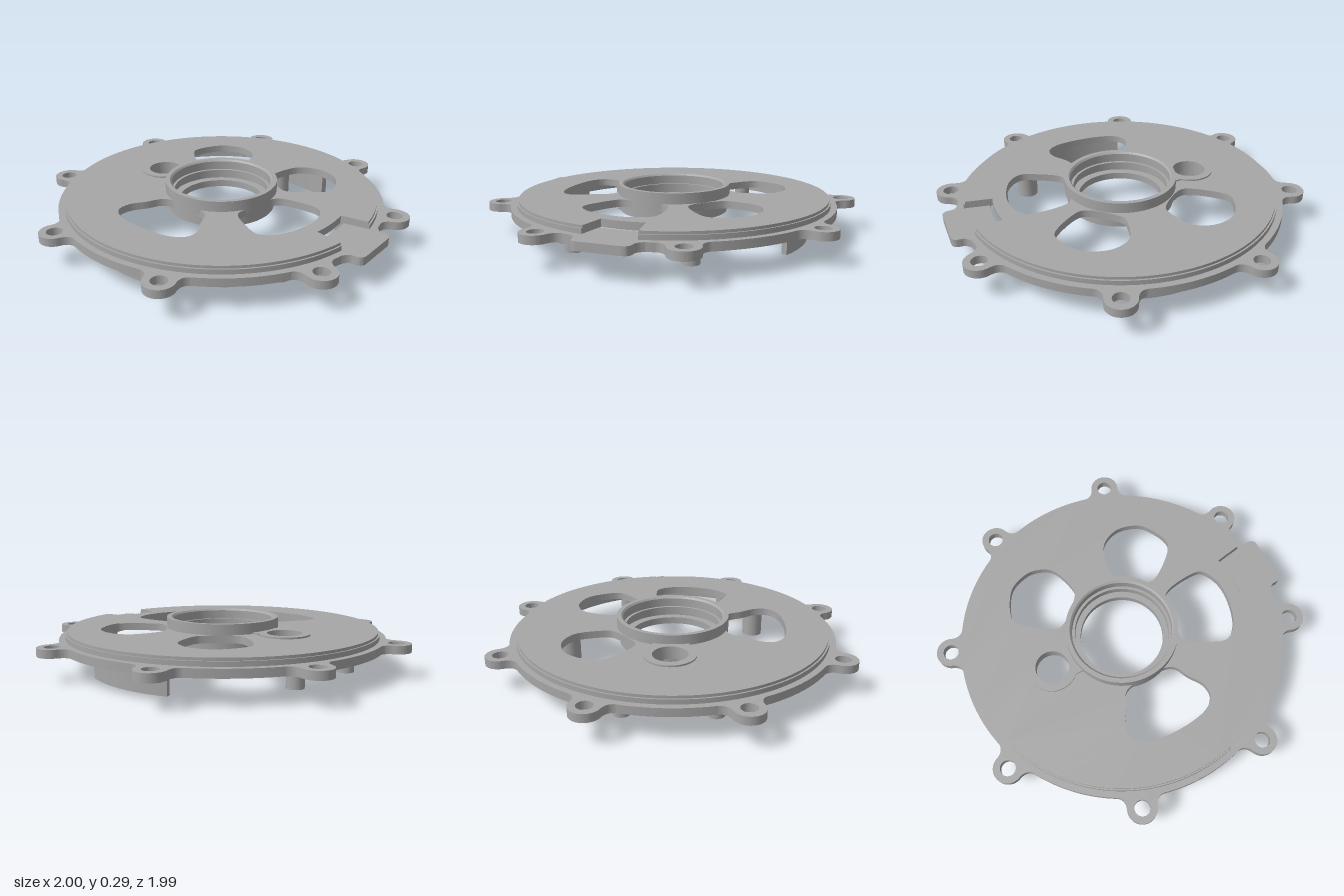
import * as THREE from 'three';
import { toCreasedNormals } from 'three/addons/utils/BufferGeometryUtils.js';

const PI = Math.PI;
const metal = new THREE.MeshStandardMaterial({ color: 0xa6a6a6 });
metal.name = 'grey metal';

const v2 = (x, z) => new THREE.Vector2(x, z);
const circle = (x, z, r) => new THREE.Path().absarc(x, z, r, 0, PI * 2, true);

// Horizontal slab: the shape's second axis becomes z
function slab(shape, y0, y1) {
  const g = new THREE.ExtrudeGeometry(shape, { depth: y1 - y0, bevelEnabled: false, curveSegments: 72 });
  g.rotateX(PI / 2).translate(0, y1, 0);
  return toCreasedNormals(g, 0.5);
}

// Turned part from [radius, y] pairs
function turned(pairs, segments) {
  return toCreasedNormals(new THREE.LatheGeometry(pairs.map(([r, y]) => v2(r, y)), segments), 0.5);
}

// Band between two radii and two angles
function arcBand(r0, r1, a0, a1) {
  const s = new THREE.Shape();
  s.absarc(0, 0, r1, a0, a1, false);
  s.absarc(0, 0, r0, a1, a0, true);
  s.closePath();
  return s;
}

// Smooth closed opening through a few points
function opening(points) {
  const curve = new THREE.CatmullRomCurve3(points.map(([x, z]) => new THREE.Vector3(x, z, 0)), true, 'centripetal');
  return new THREE.Path(curve.getSpacedPoints(72).slice(0, -1).map((p) => v2(p.x, p.y)));
}

const mirrorX = (points) => points.map(([x, z]) => [-x, z]).reverse();

const RIM = 0.93, EAR_AT = 0.988, EAR_R = 0.082;
const earAngles = Array.from({ length: 8 }, (_, k) => PI / 8 + (k * PI) / 4);

// Flange outline with eight ears and one square tab
function flangeShape() {
  const s = new THREE.Shape();
  s.moveTo(0.91, -0.19);
  s.quadraticCurveTo(0.93, -0.153, 0.955, -0.153);
  s.lineTo(0.97, -0.153);
  s.quadraticCurveTo(1.006, -0.15, 1.006, -0.11);
  s.lineTo(1.006, 0.11);
  s.quadraticCurveTo(1.006, 0.15, 0.97, 0.153);
  s.lineTo(0.955, 0.153);
  s.quadraticCurveTo(0.93, 0.153, 0.91, 0.19);
  let from = 0.206;
  for (const a of earAngles) {
    const at = (r, t) => [r * Math.cos(a) - t * Math.sin(a), r * Math.sin(a) + t * Math.cos(a)];
    s.absarc(0, 0, RIM, from, a - 0.135, false);
    s.quadraticCurveTo(...at(0.935, -EAR_R), ...at(EAR_AT, -EAR_R));
    s.absarc(...at(EAR_AT, 0), EAR_R, a - PI / 2, a + PI / 2, false);
    s.quadraticCurveTo(...at(0.935, EAR_R), ...at(RIM * Math.cos(0.135), RIM * Math.sin(0.135)));
    from = a + 0.135;
  }
  s.absarc(0, 0, RIM, from, PI * 2 - 0.206, false);
  s.holes.push(circle(0, 0, 0.752));
  for (const a of earAngles) s.holes.push(circle(EAR_AT * Math.cos(a), EAR_AT * Math.sin(a), 0.043));
  return s;
}

// Windows through the plate
const upperWindow = [[0.265, -0.59], [0.34, -0.59], [0.44, -0.543], [0.515, -0.4], [0.51, -0.345],
  [0.325, -0.197], [0.27, -0.206], [0.13, -0.335], [0.122, -0.372], [0.175, -0.54]];
const sideWindow = [[0.556, -0.12], [0.6, -0.105], [0.647, -0.013], [0.647, 0.11], [0.588, 0.27], [0.508, 0.33],
  [0.41, 0.297], [0.29, 0.217], [0.283, 0.174], [0.316, 0.04], [0.32, -0.05], [0.358, -0.094]];
const halfFront = [[0.107, 0.307], [0.16, 0.334], [0.198, 0.41], [0.25, 0.495], [0.25, 0.57], [0.187, 0.623]];
const frontWindow = [[0, 0.313], ...halfFront, [0, 0.65], ...mirrorX(halfFront)];

const BOSS_X = -0.447;

// Cover disc with a notch above the tab
function plateShape(radius) {
  const s = new THREE.Shape();
  s.absarc(0, 0, radius, 0.163, PI * 2 - 0.163, false);
  s.absarc(0, 0, 0.735, -0.163, 0.163, false);
  s.closePath();
  s.holes.push(circle(0, 0, 0.27), circle(BOSS_X, 0, 0.115));
  for (const w of [upperWindow, mirrorX(upperWindow), sideWindow, frontWindow]) s.holes.push(opening(w));
  return s;
}

export function createModel() {
  const model = new THREE.Group();
  model.name = 'roundCover';
  const add = (name, geometry, x = 0, y = 0, z = 0) => {
    const m = new THREE.Mesh(geometry, metal);
    m.name = name;
    m.position.set(x - 0.008, y, z);
    model.add(m);
  };

  // Flange and stepped plate
  add('flange', slab(flangeShape(), 0.14, 0.186));
  add('plate', slab(plateShape(0.895), 0.185, 0.212));
  add('plateTop', slab(plateShape(0.886), 0.212, 0.227));

  // Locating lip and the two arc walls below
  add('lip', slab(arcBand(0.752, 0.772, 0, PI * 2), 0.13, 0.141));
  for (const a of [PI / 2, -PI / 2]) {
    add('arcWall', slab(arcBand(0.743, 0.774, a - 0.372, a + 0.372), 0, 0.186));
  }

  // Central bearing hub
  add('hub', turned([[0.24, 0.13], [0.308, 0.13], [0.308, 0.2], [0.322, 0.2], [0.322, 0.287], [0.296, 0.287],
    [0.286, 0.277], [0.286, 0.17], [0.24, 0.17], [0.24, 0.13]], 72));

  // Side boss and its bridge to the hub
  add('sideBoss', turned([[0.108, 0.13], [0.14, 0.13], [0.14, 0.236], [0.095, 0.236], [0.095, 0.165],
    [0.108, 0.165], [0.108, 0.13]], 40), BOSS_X);
  add('bossBridge', new THREE.BoxGeometry(0.045, 0.105, 0.2), -0.323, 0.183, 0);

  // Screw posts with pilot holes: x, z, radius, bottom
  const posts = [[0.425, 0.5, 0.06, 0], [-0.43, 0.5, 0.06, 0], [0, -0.606, 0.06, 0],
    [-0.69, 0.235, 0.047, 0.02], [-0.69, -0.235, 0.047, 0.02],
    [0.643, 0.32, 0.047, 0.02], [0.643, -0.32, 0.047, 0.02]];
  for (const [x, z, r, y] of posts) {
    add('screwPost', turned([[0, y + 0.08], [r * 0.45, y + 0.08], [r * 0.45, y], [r, y], [r, 0.187]], 28), x, 0, z);
  }
  return model;
}
